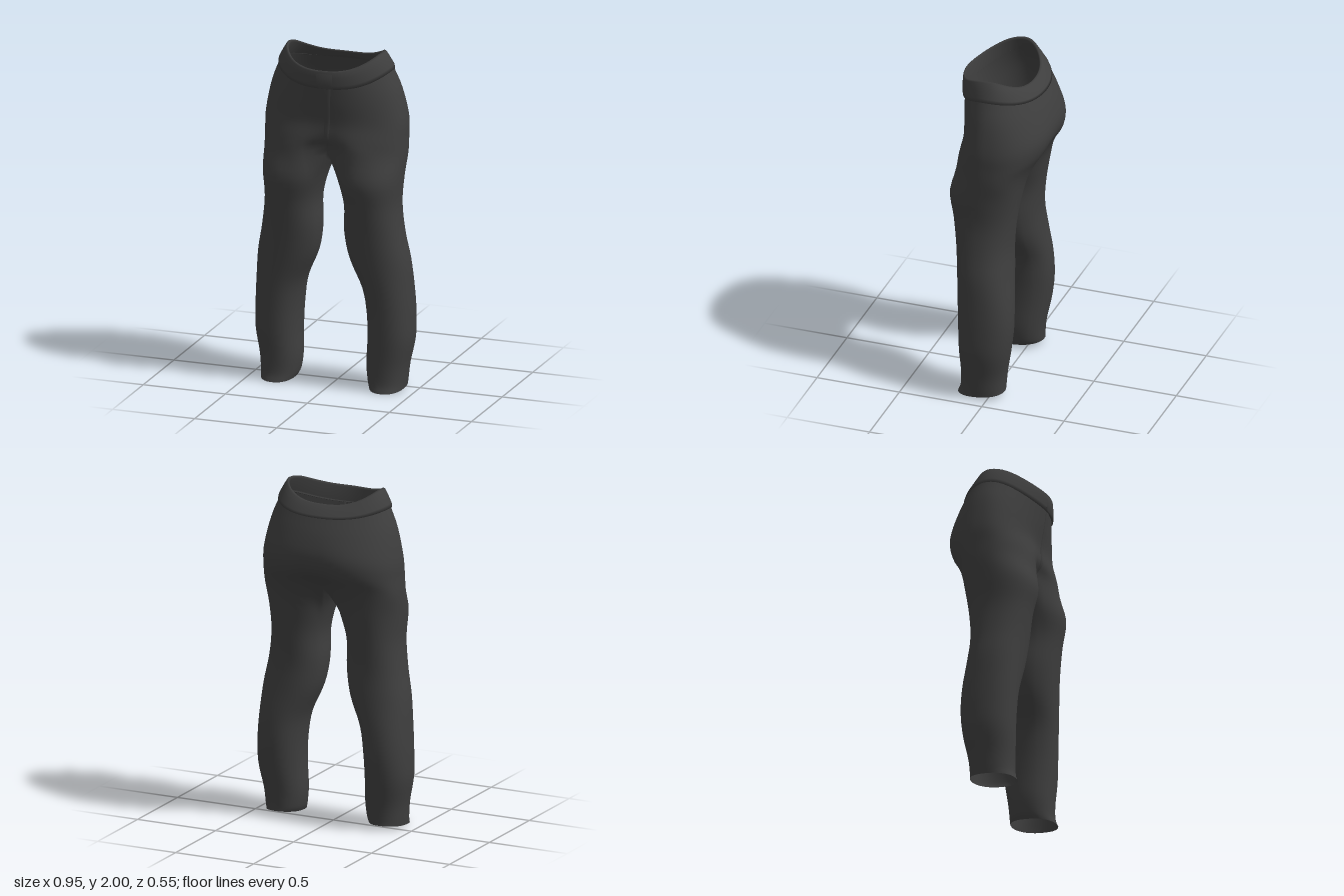
import * as THREE from 'three';
import { mergeGeometries, mergeVertices } from 'three/addons/utils/BufferGeometryUtils.js';

const V = (x, y, z) => new THREE.Vector3(x, y, z);
const spow = (v, p) => Math.sign(v) * Math.pow(Math.abs(v), p);
const lerp = THREE.MathUtils.lerp;
const ZM = 0.02; // depth of the side seams at the hips
const M = 28, K = 10, SUB = 4; // outer columns, inner-leg columns, steps per key row

// Hip rows: y front, y side, y back, half width, z front, z back, front dent, back dent, squareness
const HIPS = [
  [1.82, 1.90, 1.86, 0.335, 0.255, -0.205, 0, 0, 2],
  [1.72, 1.77, 1.75, 0.385, 0.242, -0.25, 0, 0, 2.1],
  [1.60, 1.60, 1.63, 0.418, 0.232, -0.28, 0.01, 0.005, 2.3],
  [1.50, 1.49, 1.53, 0.42, 0.255, -0.265, 0.035, 0.02, 2.4],
  [1.42, 1.39, 1.43, 0.42, 0.27, -0.21, 0.09, 0.07, 2.5],
];

// Leg rows: y front, y back, outer x, inner x, z front, z back
const LEGS = [
  [1.26, 1.26, 0.412, 0.04, 0.277, -0.14],
  [1.10, 1.10, 0.402, 0.08, 0.252, -0.112],
  [0.93, 0.93, 0.422, 0.077, 0.23, -0.098],
  [0.77, 0.77, 0.452, 0.105, 0.214, -0.108],
  [0.60, 0.60, 0.466, 0.178, 0.2, -0.125],
  [0.45, 0.45, 0.474, 0.203, 0.192, -0.13],
  [0.30, 0.30, 0.474, 0.208, 0.187, -0.115],
  [0.15, 0.15, 0.447, 0.203, 0.18, -0.088],
  [0.05, 0.06, 0.437, 0.213, 0.182, -0.08],
  [0.00, 0.03, 0.433, 0.228, 0.198, -0.08],
];

// Point on a hip row; angle runs from the front centre round the left side
function hipPoint([yF, yS, yB, rx, zf, zb, dF, dB, n], a, off = 0) {
  const s = Math.sin(a), c = Math.cos(a), front = c > 0;
  const x = (rx + off) * spow(s, 2 / n);
  const r = (front ? zf - ZM : ZM - zb) + off;
  const dent = (front ? -dF : dB) * Math.exp(-((x / 0.11) ** 2));
  return V(x, lerp(front ? yF : yB, yS, Math.abs(s) ** 3), ZM + r * spow(c, 2 / n) + dent);
}

// Point on a leg row; angle as above, about the leg's own centre
function legPoint([yF, yB, xo, xi, zf, zb], a) {
  const p = 2 / 2.25, c = Math.cos(a);
  return V((xo + xi) / 2 + ((xo - xi) / 2) * spow(Math.sin(a), p),
    lerp(yB, yF, (c + 1) / 2),
    (zf + zb) / 2 + ((zf - zb) / 2) * spow(c, p));
}

// Surface through columns of points: columns run down, in order to the right
function sheet(cols) {
  const rows = cols[0].length, pos = [], idx = [];
  cols.forEach((col) => col.forEach((p) => pos.push(p.x, p.y, p.z)));
  for (let j = 0; j < cols.length - 1; j++) {
    for (let i = 0; i < rows - 1; i++) {
      const a = j * rows + i, b = a + rows;
      idx.push(a, a + 1, b + 1, a, b + 1, b);
    }
  }
  const g = new THREE.BufferGeometry();
  g.setAttribute('position', new THREE.Float32BufferAttribute(pos, 3));
  g.setIndex(idx);
  return g;
}

function mirrored(g) {
  const m = g.clone().scale(-1, 1, 1);
  m.setIndex([...g.index.array].reverse());
  return m;
}

function smooth(parts) {
  const g = mergeVertices(mergeGeometries(parts), 1e-4);
  g.computeVertexNormals();
  return g;
}

const spline = (pts, steps) => new THREE.CatmullRomCurve3(pts, false, 'catmullrom').getPoints(steps);

// Outer column from waist seam to hem
function outerColumn(t) {
  const legAngle = -Math.PI / 3 + (t * 5 * Math.PI) / 3;
  const pts = [...HIPS.map((r) => hipPoint(r, Math.PI * t)), ...LEGS.map((r) => legPoint(r, legAngle))];
  const seam = t === 0 || t === 1;
  if (seam) for (let i = 0; i < HIPS.length; i++) pts[i].x = 0;
  return spline(pts, (pts.length - 1) * SUB);
}

// Trousers body: outer shell of one side, plus inner leg hanging from the crotch curve
function bodyGeometry() {
  const outer = [];
  for (let j = 0; j <= M; j++) outer.push(outerColumn(j / M));
  const top = (HIPS.length - 1) * SUB;
  const backEdge = outer[M].slice(top), frontEdge = outer[0].slice(top);
  const crotch = new THREE.CatmullRomCurve3([
    backEdge[0], V(0, 1.375, -0.06), V(0, 1.35, 0.03), V(0, 1.365, 0.11), frontEdge[0]]);
  const inner = [backEdge];
  for (let k = 1; k < K; k++) {
    const t = k / K, a = (4 / 3 + (2 / 3) * t) * Math.PI - (t * Math.PI) / 3;
    const pts = [crotch.getPoint(t), ...LEGS.map((r) => legPoint(r, a))];
    inner.push(spline(pts, LEGS.length * SUB));
  }
  inner.push(frontEdge);
  const o = sheet(outer), i = sheet(inner);
  return smooth([o, i, mirrored(o), mirrored(i)]);
}

// Waistband: soft rolled strip, dipping at front and back
const BAND = [
  [HIPS[0], -0.004],
  [[1.812, 1.892, 1.852, 0.336, 0.256, -0.207, 0, 0, 2], 0.009],
  [[1.835, 1.915, 1.866, 0.33, 0.259, -0.197, 0, 0, 2], 0.011],
  [[1.88, 1.96, 1.895, 0.309, 0.264, -0.173, 0, 0, 2], 0.008],
  [[1.912, 1.995, 1.916, 0.292, 0.268, -0.153, 0, 0, 2], 0.004],
  [[1.92, 2.0, 1.92, 0.288, 0.268, -0.15, 0, 0, 2], -0.004],
  [[1.91, 1.985, 1.912, 0.291, 0.266, -0.153, 0, 0, 2], -0.014],
  [[1.83, 1.91, 1.866, 0.328, 0.258, -0.197, 0, 0, 2], -0.014],
];
function bandGeometry() {
  const cols = [];
  for (let j = 0; j <= 64; j++) {
    cols.push(BAND.map(([row, off]) => hipPoint(row, (j / 64) * Math.PI * 2, off)).reverse());
  }
  return smooth([sheet(cols)]);
}

// Overlapping tab at the front of the waistband, with one rounded end
function tabGeometry() {
  const cols = [];
  for (let j = 0; j <= 8; j++) {
    const x = -0.032 + j * 0.012;
    const inset = 0.012 * Math.max(0, 1 - j / 2) ** 2;
    cols.push([[1.918 - inset, 0.268], [1.88, 0.279], [1.835, 0.276], [1.814 + inset, 0.268]]
      .map(([y, z]) => V(x, y, z - x * x * 1.5)));
  }
  return smooth([sheet(cols)]);
}

// Fly flap: narrow tapering patch lying on the front seam
function flyGeometry() {
  const rows = 16, edge = outerColumn(0), near = outerColumn(2 / M);
  const cols = [];
  for (let j = 0; j <= 4; j++) {
    const col = [];
    for (let i = 0; i <= rows; i++) {
      const v = i / rows;
      const width = 0.052 * Math.pow(1 - v, 0.6) + 0.004;
      const x = width * (j / 4), f = x / Math.max(near[i].x, 0.02);
      const lift = j === 4 ? -0.002 : 0.005 * (1 - 0.5 * v);
      col.push(V(x, edge[i].y, lerp(edge[i].z, near[i].z, f) + lift));
    }
    cols.push(col);
  }
  const flap = sheet(cols);
  const side = sheet([cols[0].map((p) => V(p.x - 0.002, p.y, p.z - 0.008)), cols[0]]);
  return smooth([flap, side]);
}

export function createModel() {
  const cloth = new THREE.MeshStandardMaterial({ color: 0x3e3e3e, side: THREE.DoubleSide });
  cloth.name = 'charcoal cloth';
  const group = new THREE.Group();
  group.name = 'trousers';
  const add = (name, geometry) => {
    const mesh = new THREE.Mesh(geometry, cloth);
    mesh.name = name;
    group.add(mesh);
  };
  add('hipsAndLegs', bodyGeometry());
  add('waistband', bandGeometry());
  add('waistTab', tabGeometry());
  add('flyFlap', flyGeometry());
  return group;
}
